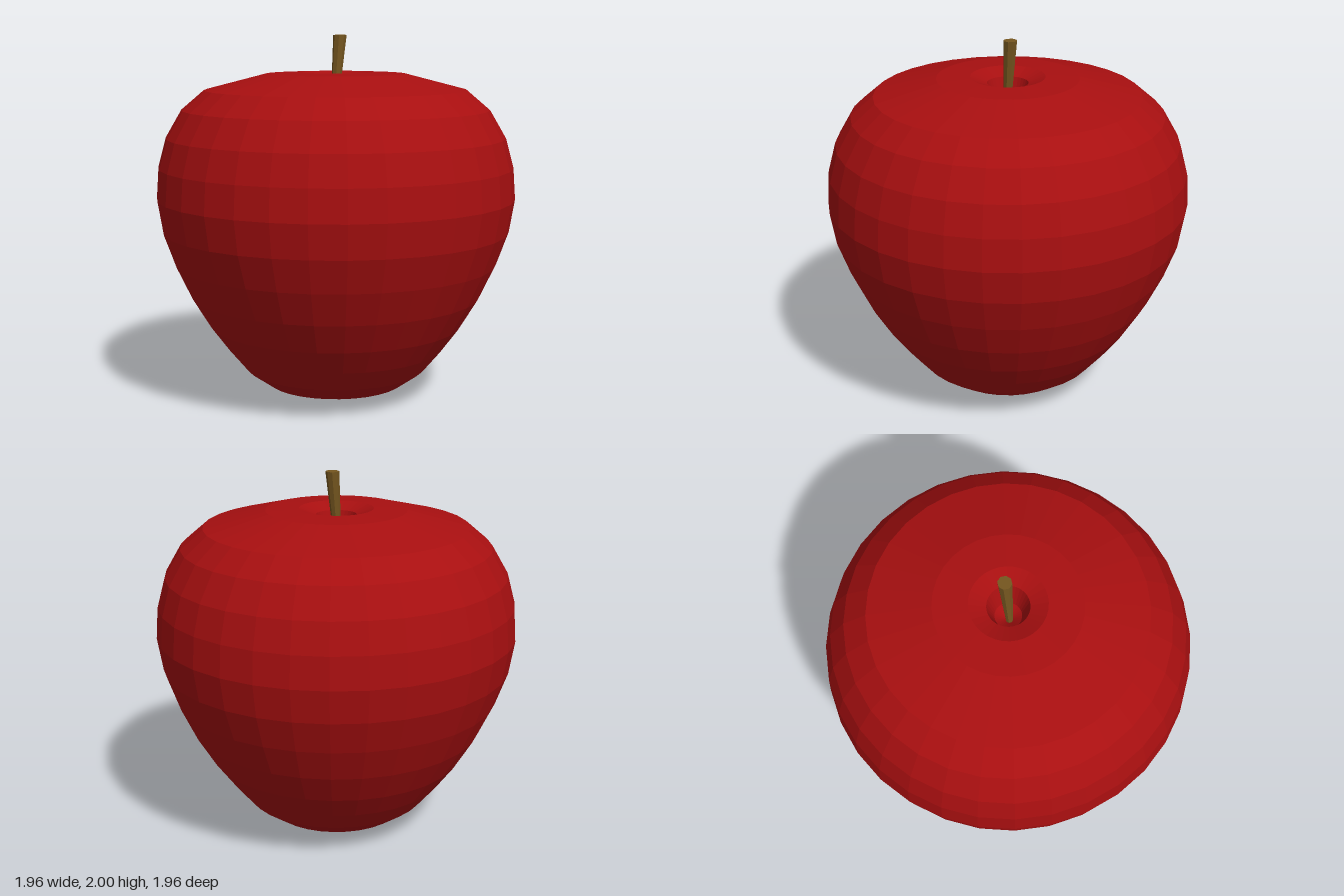
import * as THREE from 'three';

export function createModel() {
  const model = new THREE.Group();
  model.name = 'apple';

  const skin = new THREE.MeshStandardMaterial({ color: 0xa80f10, flatShading: true });
  skin.name = 'red skin';
  const bark = new THREE.MeshStandardMaterial({ color: 0x75561f, flatShading: true });
  bark.name = 'brown stem';

  // Fruit: profile from the bottom dimple, round the side and into the top hollow
  const profile = [
    [0, 0.1], [0.05, 0.05], [0.12, 0.005], [0.38, 0.075], [0.5, 0.16], [0.6, 0.28],
    [0.7, 0.415], [0.8, 0.58], [0.885, 0.76], [0.95, 0.94], [0.98, 1.12],
    [0.968, 1.29], [0.925, 1.45], [0.838, 1.6], [0.715, 1.705], [0.38, 1.792],
    [0.2, 1.8], [0.11, 1.765], [0.07, 1.64], [0, 1.59],
  ].map(([r, y]) => new THREE.Vector2(r, y));
  profile[2].y = 0;
  const fruit = new THREE.Mesh(new THREE.LatheGeometry(profile, 32), skin);
  fruit.name = 'fruit';
  model.add(fruit);

  // Stem: widens upward and leans towards +x with a level top
  const stemHeight = 0.42;
  const stemGeometry = new THREE.CylinderGeometry(0.037, 0.018, stemHeight, 8);
  stemGeometry.translate(0, 2 - stemHeight / 2, 0);
  const p = stemGeometry.attributes.position;
  for (let i = 0; i < p.count; i++) {
    p.setX(i, p.getX(i) + 0.029 - (2 - p.getY(i)) * 0.1);
  }
  stemGeometry.computeVertexNormals();
  const stem = new THREE.Mesh(stemGeometry, bark);
  stem.name = 'stem';
  model.add(stem);

  return model;
}
